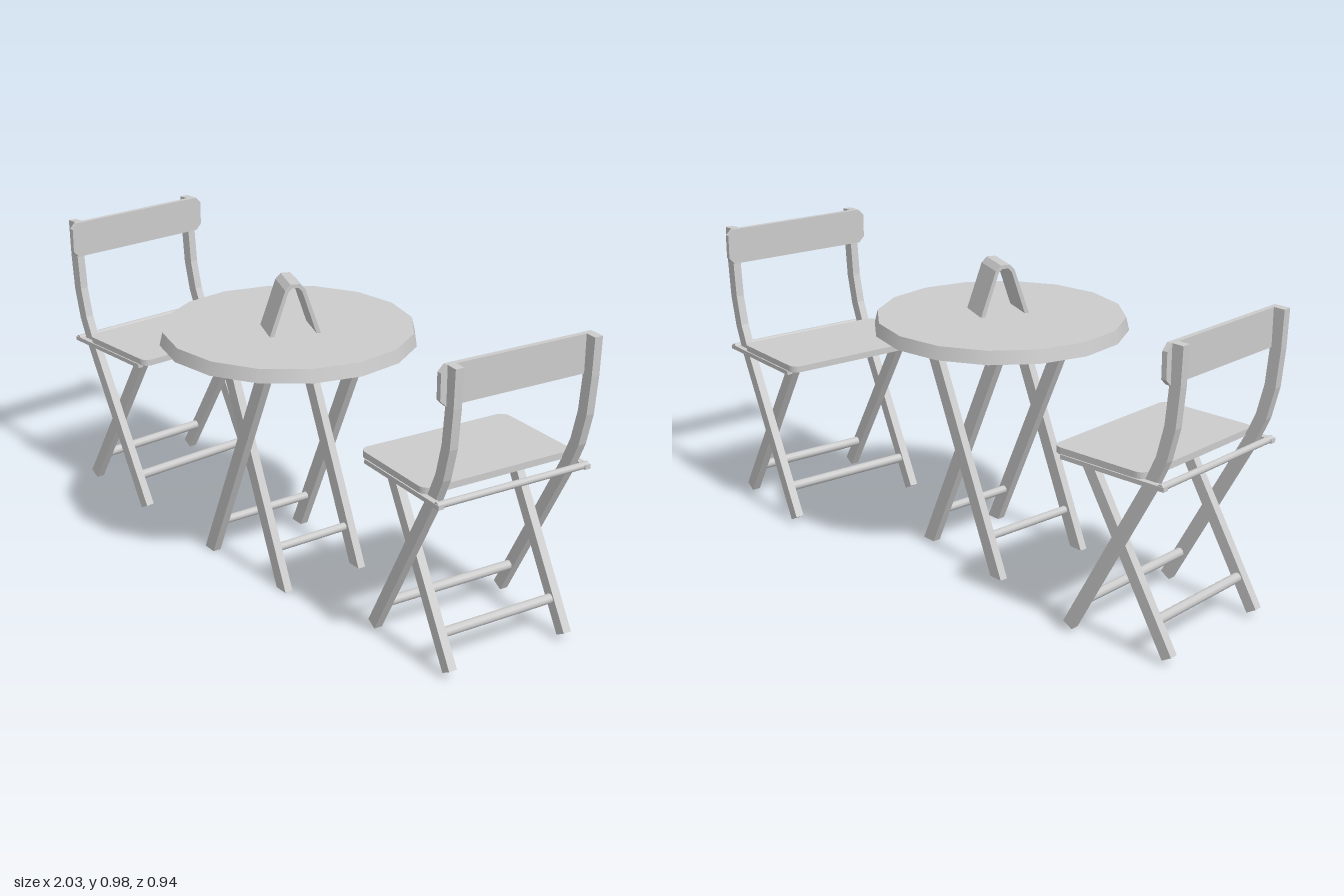
import * as THREE from 'three';

const material = new THREE.MeshStandardMaterial({ color: 0xcccccc });

function add(parent, name, geometry, x = 0, y = 0, z = 0) {
  const mesh = new THREE.Mesh(geometry, material);
  mesh.name = name;
  mesh.position.set(x, y, z);
  parent.add(mesh);
  return mesh;
}

// Extrude a (z, y) outline sideways, centred on x = 0
function extrudeSide(points, thickness) {
  const shape = new THREE.Shape(points.map(([z, y]) => new THREE.Vector2(z, y)));
  return new THREE.ExtrudeGeometry(shape, { depth: thickness, bevelEnabled: false })
    .translate(0, 0, -thickness / 2)
    .rotateY(-Math.PI / 2);
}

// Wooden slat following a (z, y) path; flat ends are cut level with the floor
function slat(path, width, thickness, flatEnds = false) {
  const front = [], back = [];
  path.forEach(([z, y], i) => {
    const a = path[Math.max(i - 1, 0)], b = path[Math.min(i + 1, path.length - 1)];
    const dz = b[0] - a[0], dy = b[1] - a[1], len = Math.hypot(dz, dy);
    const nz = flatEnds ? (width / 2) * (len / dy) : (width / 2) * (dy / len);
    const ny = flatEnds ? 0 : (-width / 2) * (dz / len);
    front.push([z + nz, y + ny]);
    back.unshift([z - nz, y - ny]);
  });
  return extrudeSide([...front, ...back], thickness);
}

// Round bar running from side to side
function bar(radius, length) {
  return new THREE.CylinderGeometry(radius, radius, length, 10).rotateZ(Math.PI / 2);
}

// Rectangle with rounded corners
function roundedRect(w, h, r) {
  const s = new THREE.Shape(), a = w / 2, b = h / 2;
  s.absarc(a - r, b - r, r, 0, Math.PI / 2);
  s.absarc(r - a, b - r, r, Math.PI / 2, Math.PI);
  s.absarc(r - a, r - b, r, Math.PI, Math.PI * 1.5);
  s.absarc(a - r, r - b, r, Math.PI * 1.5, Math.PI * 2);
  s.closePath();
  return s;
}

// Folding chair facing its local +z
function createChair() {
  const chair = new THREE.Group();
  const postPath = [[0.175, 0.022], [-0.11, 0.55], [-0.15, 0.64], [-0.175, 0.74], [-0.186, 0.86], [-0.19, 0.98]];
  const post = slat(postPath, 0.038, 0.028);
  const rearLeg = slat([[-0.175, 0.022], [0.15, 0.565]], 0.038, 0.028);
  const rail = new THREE.BoxGeometry(0.02, 0.014, 0.375);
  for (const side of [-1, 1]) {
    add(chair, 'backPost', post, side * 0.24);
    add(chair, 'rearLeg', rearLeg, side * 0.212);
    add(chair, 'seatRail', rail, side * 0.262, 0.561, 0.012);
  }

  // Seat board
  const seat = new THREE.ExtrudeGeometry(roundedRect(0.535, 0.335, 0.03),
    { depth: 0.021, bevelEnabled: false, curveSegments: 3 }).rotateX(-Math.PI / 2);
  add(chair, 'seat', seat, 0, 0.567, 0.067);

  // Backrest board with clipped corners
  const a = 0.275, b = 0.06, c = 0.02;
  const board = new THREE.Shape([
    [a - c, -b], [a, c - b], [a, b - c], [a - c, b], [c - a, b], [-a, b - c], [-a, c - b], [c - a, -b],
  ].map(([x, y]) => new THREE.Vector2(x, y)));
  add(chair, 'backrest', new THREE.ExtrudeGeometry(board, { depth: 0.017, bevelEnabled: false }), 0, 0.92, -0.172);

  // Cross bars
  add(chair, 'rearSeatBar', bar(0.011, 0.54), 0, 0.563, -0.162);
  add(chair, 'frontFootBar', bar(0.016, 0.47), 0, 0.118, 0.122);
  add(chair, 'rearFootBar', bar(0.016, 0.415), 0, 0.118, -0.117);
  return chair;
}

// Round table on two pairs of crossed legs
function createTable() {
  const table = new THREE.Group();
  const top = add(table, 'tableTop', new THREE.CylinderGeometry(0.4, 0.41, 0.042, 16), -0.047, 0.789, 0.057);
  top.rotation.y = 0.043;

  const legs = new THREE.Group();
  legs.name = 'tableLegs';
  legs.position.set(-0.045, 0, 0.067);
  legs.rotation.y = THREE.MathUtils.degToRad(72);
  for (const [dir, half] of [[1, 0.178], [-1, 0.145]]) {
    const leg = slat([[-0.19 * dir, 0], [0.16 * dir, 0.77]], 0.046, 0.027, true);
    for (const side of [-1, 1]) add(legs, 'tableLeg', leg, side * half);
    add(legs, 'tableFootBar', bar(0.014, half * 2), 0, 0.122, -0.134 * dir);
  }
  table.add(legs);
  return table;
}

// Folded card standing on the table
function createCard() {
  const outline = [[-0.082, 0], [-0.032, 0.147], [-0.015, 0.165], [0.015, 0.165], [0.032, 0.147], [0.082, 0],
    [0.068, 0], [0.022, 0.141], [0.01, 0.153], [-0.01, 0.153], [-0.022, 0.141], [-0.068, 0]];
  return extrudeSide(outline, 0.125);
}

export function createModel() {
  const model = new THREE.Group();
  model.name = 'bistroSet';

  const table = createTable();
  table.name = 'table';
  model.add(table);

  const card = add(model, 'foldedCard', createCard(), -0.02, 0.81, 0.083);
  card.rotation.y = 0.91 + Math.PI / 2;

  for (const [name, x, z, fx, fz] of [
    ['leftChair', 0.72, 0.14, -0.93, -0.37],
    ['rightChair', -0.765, -0.17, 0.977, 0.21],
  ]) {
    const chair = createChair();
    chair.name = name;
    chair.position.set(x, 0, z);
    chair.rotation.y = Math.atan2(fx, fz);
    model.add(chair);
  }
  return model;
}
